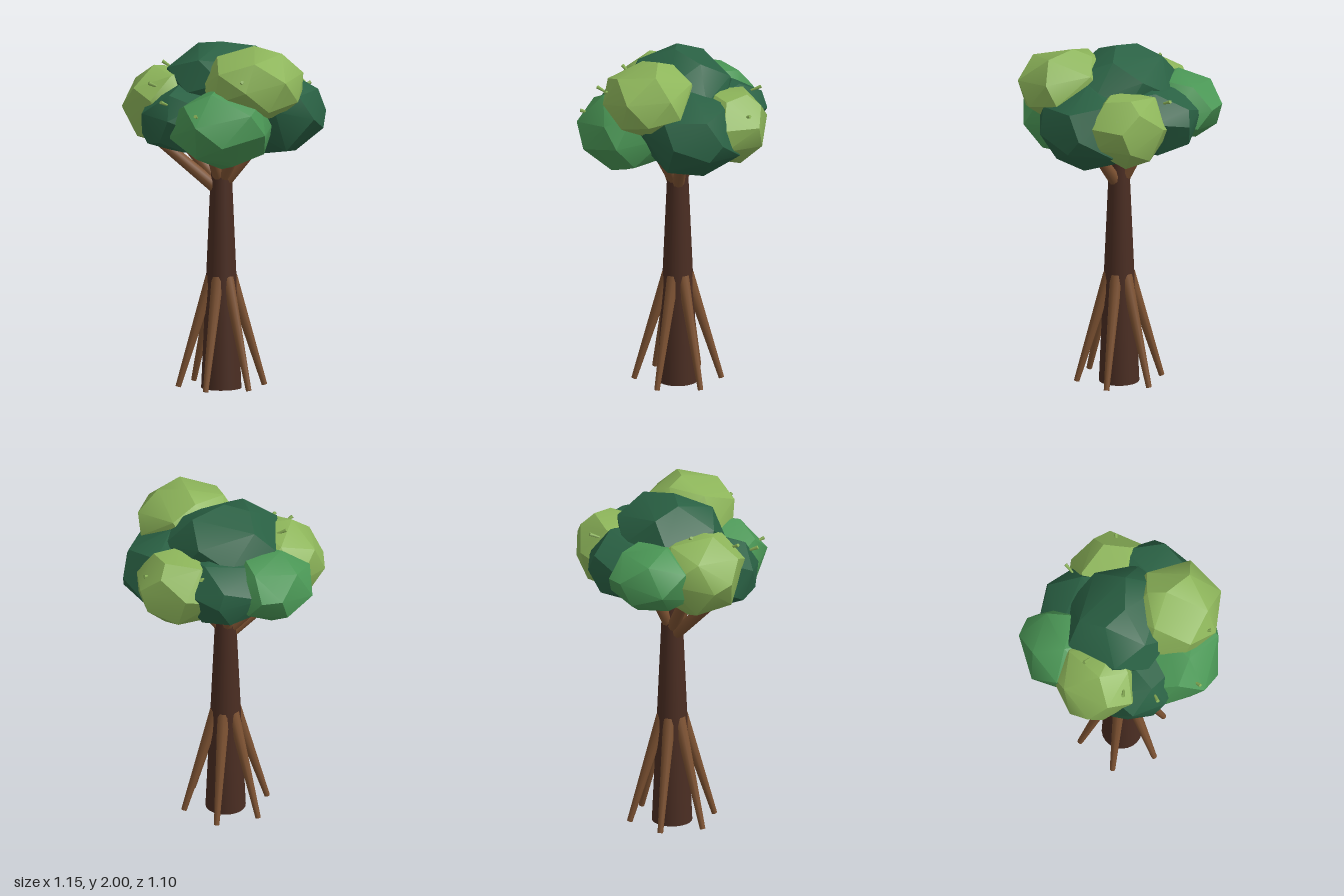
import * as THREE from 'three';
import { ConvexGeometry } from 'three/addons/geometries/ConvexGeometry.js';
import { toCreasedNormals } from 'three/addons/utils/BufferGeometryUtils.js';

const mat = (color) => new THREE.MeshStandardMaterial({ color });
const UP = new THREE.Vector3(0, 1, 0);
const CX = -0.015, CZ = -0.035; // trunk axis

// Small seeded random generator
function seeded(seed) {
  let s = seed * 7919 + 17;
  return () => ((s = (s * 16807) % 2147483647) / 2147483647);
}

// Tapered limb between two points
function limb(name, a, b, ra, rb, material, sides = 10) {
  const start = new THREE.Vector3(...a), end = new THREE.Vector3(...b);
  const dir = end.clone().sub(start);
  const mesh = new THREE.Mesh(new THREE.CylinderGeometry(rb, ra, dir.length(), sides), material);
  mesh.position.copy(start).add(end).multiplyScalar(0.5);
  mesh.quaternion.setFromUnitVectors(UP, dir.normalize());
  mesh.name = name;
  return mesh;
}

// Faceted leaf clump: convex hull of jittered sphere points with one corner
// towards the tip direction, fitted to its radii
function clump(name, centre, radii, tip, material, seed) {
  const rand = seeded(seed), points = [], n = 22;
  const turn = new THREE.Quaternion().setFromUnitVectors(UP, new THREE.Vector3(...tip).normalize());
  for (let i = 0; i < n; i++) {
    const y = 1 - (2 * i) / (n - 1), r = Math.sqrt(1 - y * y);
    const t = i * 2.39996 + seed + (rand() - 0.5) * 0.4;
    points.push(new THREE.Vector3(r * Math.cos(t), y, r * Math.sin(t)).applyQuaternion(turn));
  }
  const hull = new ConvexGeometry(points);
  hull.computeBoundingBox();
  const size = hull.boundingBox.getSize(new THREE.Vector3());
  hull.center();
  hull.scale(...radii.map((r, i) => (2 * r) / size.getComponent(i)));
  const mesh = new THREE.Mesh(toCreasedNormals(hull, 0.6), material);
  mesh.position.set(...centre);
  mesh.name = name;
  return mesh;
}

export function createModel() {
  const tree = new THREE.Group();
  tree.name = 'tree';
  const bark = mat(0x4a2d22), wood = mat(0x7d5232);
  const dark = mat(0x2a6144), mid = mat(0x4a9655), light = mat(0x8db55a);

  // Trunk
  tree.add(limb('trunk', [CX, 0, CZ], [CX, 1.42, CZ], 0.115, 0.052, bark, 24));

  // Six prop roots leaning against the trunk
  const roots = new THREE.Group();
  roots.name = 'roots';
  for (let i = 0; i < 6; i++) {
    const a = ((-14 + 60 * i) * Math.PI) / 180, c = Math.cos(a), s = Math.sin(a);
    roots.add(limb('root', [CX + 0.248 * c, 0.012, CZ + 0.248 * s],
      [CX + 0.056 * c, 0.64, CZ + 0.056 * s], 0.016, 0.036, wood));
  }
  tree.add(roots);

  // Branches reaching into the crown
  const branches = new THREE.Group();
  branches.name = 'branches';
  [
    [[-0.03, 1.14, -0.03], [-0.36, 1.42, 0.0]],
    [[-0.03, 1.18, -0.04], [-0.27, 1.45, -0.1]],
    [[0.0, 1.18, -0.03], [0.2, 1.42, 0.0]],
    [[-0.01, 1.2, -0.02], [0.1, 1.43, 0.1]],
    [[-0.02, 1.2, -0.05], [-0.04, 1.43, -0.18]],
    [[-0.02, 1.2, -0.02], [-0.08, 1.43, 0.1]],
  ].forEach(([a, b]) => branches.add(limb('branch', a, b, 0.038, 0.03, wood)));
  tree.add(branches);

  // Crown of overlapping leaf clumps: name, centre, radii, tip direction, colour
  const crown = new THREE.Group();
  crown.name = 'crown';
  [
    ['topClump', [0, 1.765, -0.05], [0.35, 0.23, 0.31], [0, 1, 0.1], dark],
    ['upperFrontClump', [0.18, 1.785, 0.2], [0.29, 0.215, 0.27], [0, 1, -0.2], light],
    ['frontClump', [0.01, 1.55, 0.245], [0.3, 0.24, 0.3], [0, -1, 0.1], mid],
    ['leftClump', [0.275, 1.6, -0.03], [0.3, 0.24, 0.32], [1, 0, -0.3], dark],
    ['backLeftClump', [0.245, 1.605, -0.26], [0.255, 0.205, 0.225], [-0.4, -1, 0.4], light],
    ['backClump', [0.0, 1.605, -0.255], [0.3, 0.215, 0.29], [0.2, 0, -1], dark],
    ['backRightClump', [-0.235, 1.63, -0.275], [0.25, 0.185, 0.275], [0.2, 0.1, -1], mid],
    ['rightClump', [-0.315, 1.62, -0.04], [0.262, 0.24, 0.26], [-1, 0, 0.25], light],
    ['frontRightClump', [-0.215, 1.58, 0.15], [0.24, 0.2, 0.225], [-1, -0.8, 0.3], dark],
  ].forEach(([name, c, r, tip, m], i) => crown.add(clump(name, c, r, tip, m, i + 1)));
  tree.add(crown);

  // Little sprigs poking out of the leaves
  const sprigs = new THREE.Group();
  sprigs.name = 'sprigs';
  [
    [0.15, 1.77, -0.455], [0.45, 1.71, -0.3], [-0.335, 1.85, -0.1], [-0.39, 1.77, 0.16],
    [-0.31, 1.69, 0.33], [-0.11, 1.64, 0.49], [0.14, 1.83, 0.43],
  ].forEach((p) => {
    const out = new THREE.Vector3(p[0], 0.2, p[2]).normalize().multiplyScalar(0.025);
    const end = new THREE.Vector3(...p).add(out);
    const base = new THREE.Vector3(...p).addScaledVector(out, -1.5);
    sprigs.add(limb('sprig', base.toArray(), end.toArray(), 0.006, 0.011, light, 5));
  });
  tree.add(sprigs);
  return tree;
}
